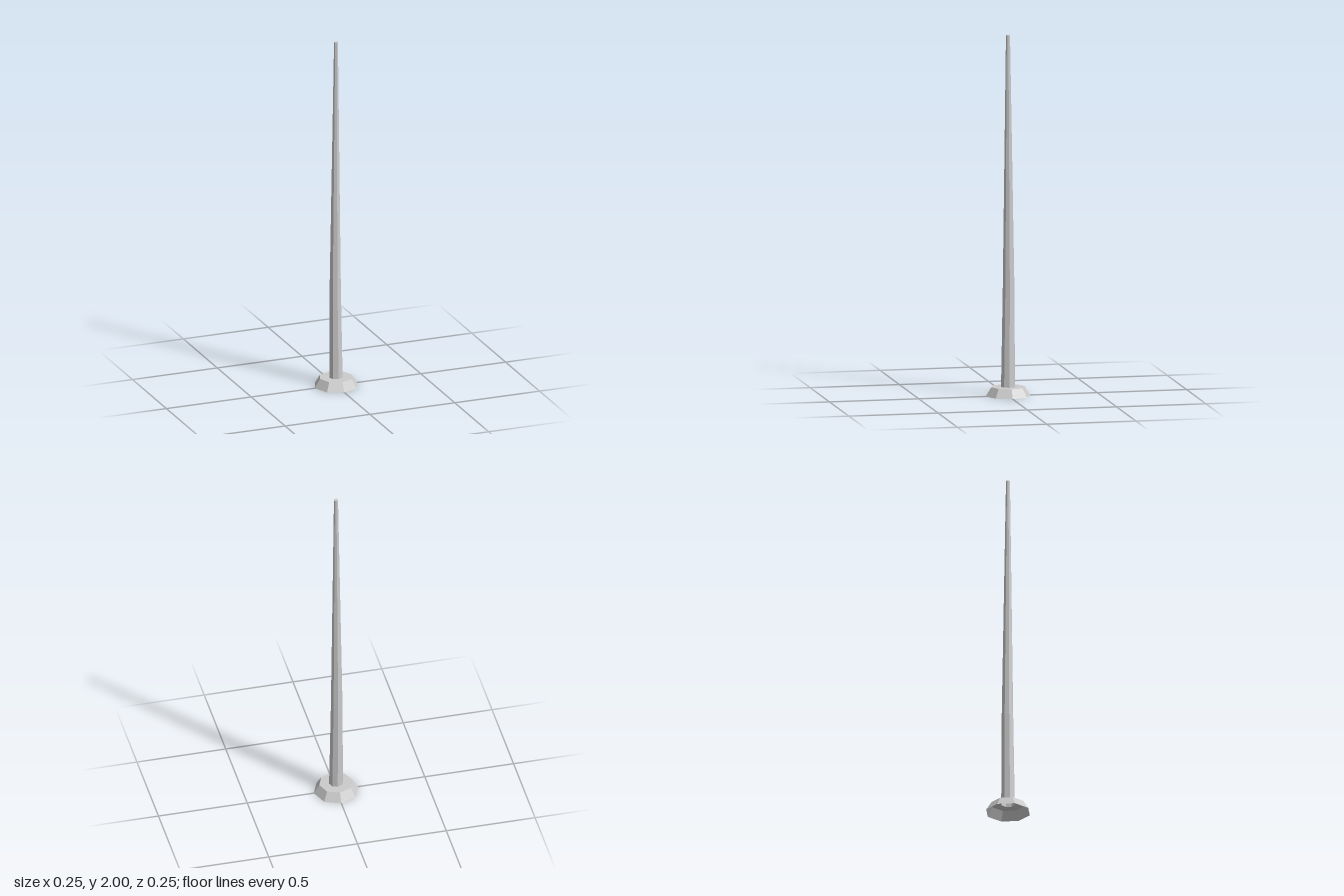
import * as THREE from 'three';

const SIDES = 8;
const material = new THREE.MeshStandardMaterial({
  color: 0xcccccc, flatShading: true, side: THREE.DoubleSide,
});

// Eight-sided turned part from [radius, y] pairs, listed bottom to top
function turned(name, profile) {
  const points = profile.map(([r, y]) => new THREE.Vector2(r, y));
  const mesh = new THREE.Mesh(new THREE.LatheGeometry(points, SIDES), material);
  mesh.name = name;
  return mesh;
}

export function createModel() {
  const group = new THREE.Group();
  group.name = 'pole';

  // Flared foot: hollow underneath, flat collar meeting the shaft
  group.add(turned('base', [[0.125, 0], [0.094, 0.05], [0.039, 0.05]]));

  // Tapering shaft with a closed tip
  const bendY = 0.58;
  const shaft = turned('shaft', [[0.039, 0.05], [0.033, bendY], [0.0115, 2], [0, 2]]);

  // Slight lean of the middle ring towards the back right
  const pos = shaft.geometry.attributes.position;
  for (let i = 0; i < pos.count; i++) {
    if (Math.abs(pos.getY(i) - bendY) < 0.001) {
      pos.setX(i, pos.getX(i) - 0.003);
      pos.setZ(i, pos.getZ(i) - 0.004);
    }
  }
  shaft.geometry.computeVertexNormals();
  group.add(shaft);

  return group;
}
